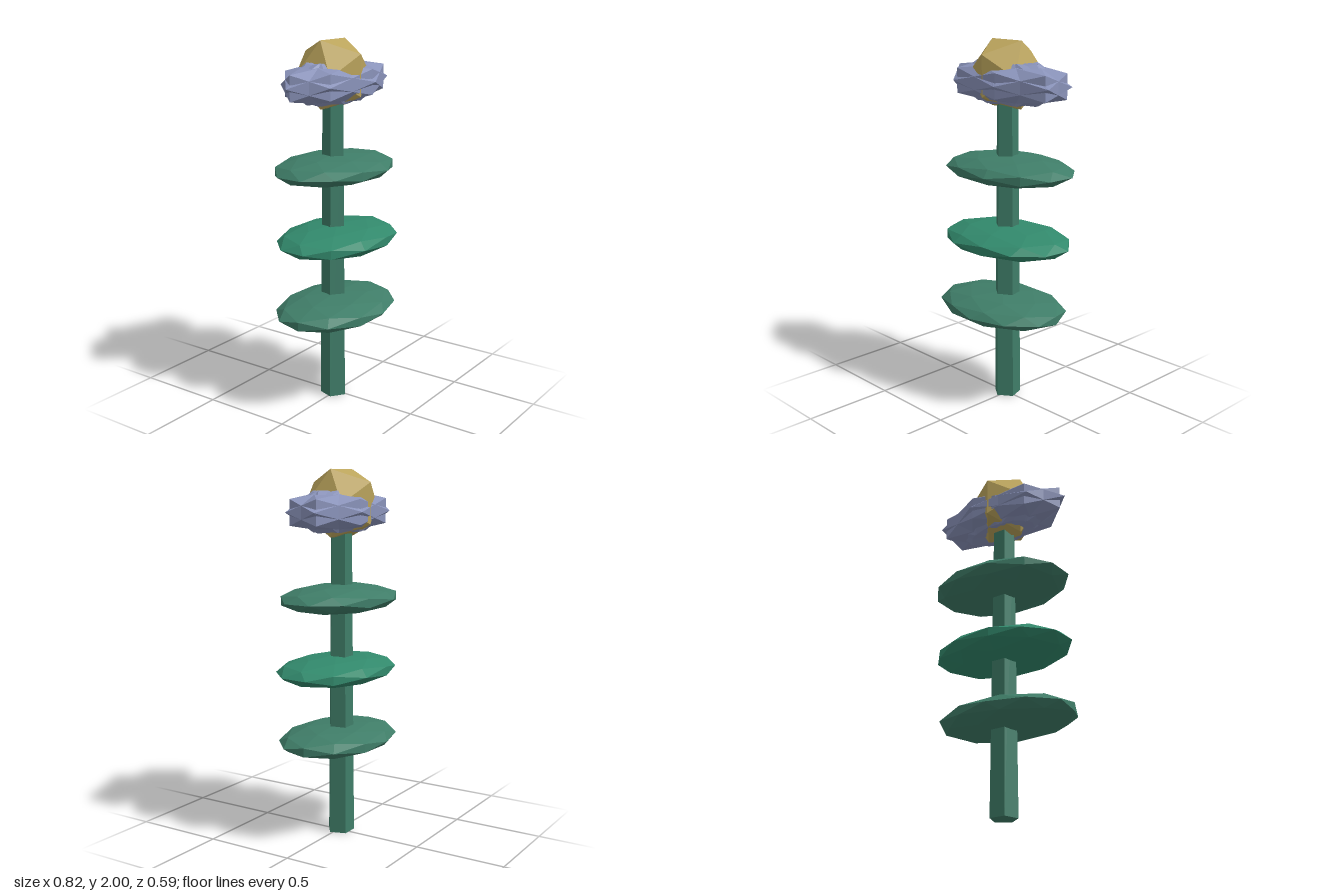
import * as THREE from 'three';

const material = (color) => new THREE.MeshStandardMaterial({ color, flatShading: true });
const stemGreen = material(0x3f7d68);
const leafGreen = material(0x3f7d68);
const brightGreen = material(0x32896c);
const petalBlue = material(0x8a93ba);
const gold = material(0xbba45c);

function addMesh(parent, name, geometry, mat, x, y, z) {
  const mesh = new THREE.Mesh(geometry, mat);
  mesh.name = name;
  mesh.position.set(x, y, z);
  parent.add(mesh);
  return mesh;
}

// Faceted ball, turned about y and then flattened to an ellipsoid
function flatBall(detail, turn, sx, sy, sz) {
  return new THREE.IcosahedronGeometry(1, detail).rotateY(THREE.MathUtils.degToRad(turn)).scale(sx, sy, sz);
}

export function createModel() {
  const model = new THREE.Group();
  model.name = 'flower';

  // Five-sided tapering stem
  addMesh(model, 'stem', new THREE.CylinderGeometry(0.06, 0.0765, 1.76, 5), stemGreen, -0.009, 0.88, -0.008);

  // Three flattened leaf pads, each turned differently
  const leaves = [
    { pos: [-0.022, 0.537, 0.015], turn: 127.7, mat: leafGreen },
    { pos: [0.006, 0.927, 0.007], turn: 160.6, mat: brightGreen },
    { pos: [0.006, 1.317, -0.012], turn: 193.5, mat: leafGreen },
  ];
  leaves.forEach(({ pos, turn, mat }, i) => {
    addMesh(model, `leaf${i + 1}`, flatBall(1, turn, 0.408, 0.078, 0.288), mat, ...pos);
  });

  // Ring of overlapping petals squashed into an oval
  const head = new THREE.Group();
  head.name = 'flowerHead';
  head.position.set(0, 1.78, -0.008);
  model.add(head);
  const count = 7, sx = 0.385, sy = 0.128, sz = 0.185, offset = 0.15;
  for (let i = 0; i < count; i++) {
    const a = Math.PI + (i / count) * Math.PI * 2;
    const turn = 90 - THREE.MathUtils.radToDeg(a);
    addMesh(head, `petal${i + 1}`, flatBall(0, turn, sx, sy, sz), petalBlue,
      Math.cos(a) * offset * sx, 0, Math.sin(a) * offset * sz);
  }

  // Faceted flower centre
  addMesh(model, 'flowerCentre', new THREE.IcosahedronGeometry(0.209, 0), gold, -0.015, 1.822, -0.011);

  return model;
}
